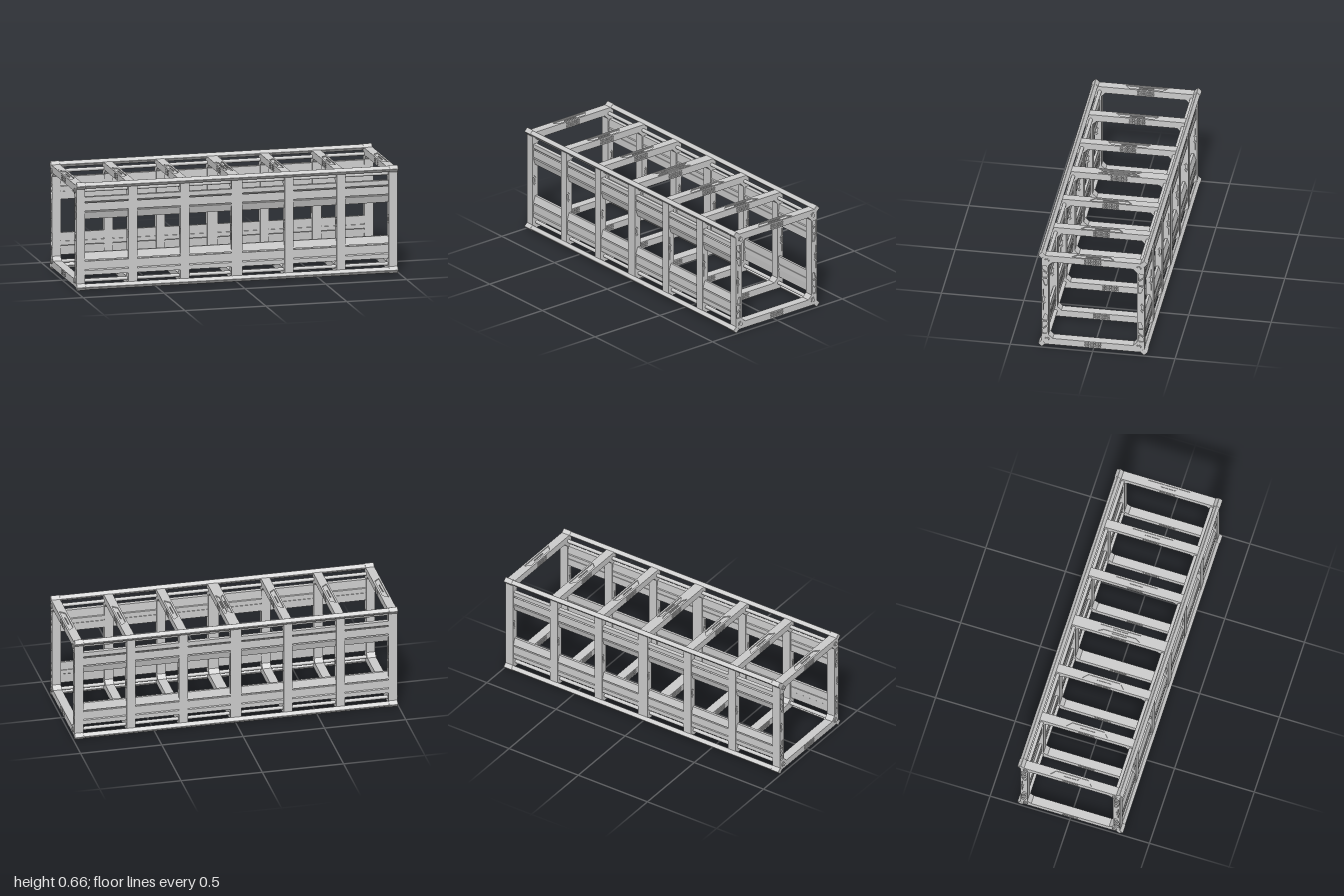
import * as THREE from 'three';
import { RoundedBoxGeometry } from 'three/addons/geometries/RoundedBoxGeometry.js';

const grey = new THREE.MeshStandardMaterial({ color: 0xcccccc });
const CY = 0.3315; // height of the long axis
const T = 0.008; // thickness of the rib face plates
const SIGNS = [-1, 1];
const EACH_CORNER = SIGNS.flatMap(sz => SIGNS.map(sy => [sz, sy]));

// Counter-clockwise outline, so outer shapes and holes both extrude with outward faces
function outline(pts) {
  const v = pts.map(p => new THREE.Vector2(...p));
  return THREE.ShapeUtils.isClockWise(v) ? v.reverse() : v;
}
const shapeOf = (pts, holes = []) => {
  const s = new THREE.Shape(outline(pts));
  s.holes = holes.map(h => new THREE.Path(outline(h)));
  return s;
};
const extrude = (shape, depth) => new THREE.ExtrudeGeometry(shape, { depth, bevelEnabled: false });

// Cross-sections are [z, y] points around the long axis, extruded along x
const alongX = (shape, length) => extrude(shape, length).translate(0, 0, -length / 2).rotateY(Math.PI / 2);
const mirrored = (pts, sz, sy) => pts.map(([z, y]) => [-z * sz, y * sy]);

function add(parent, name, geometry, x = 0, y = 0, z = 0) {
  const m = new THREE.Mesh(geometry, grey);
  m.name = name;
  m.position.set(x, y, z);
  parent.add(m);
  return m;
}

// Upper half of an outline, completed by a half turn
const halfTurn = top => [...top, ...top.map(([z, y]) => [-z, -y])];
const octagon = (h, c) => halfTurn([[h, h - c], [h - c, h], [c - h, h], [-h, h - c]]);
const rect = (x, y, w, h) => [[x - w, y - h], [x + w, y - h], [x + w, y + h], [x - w, y + h]];

const OPENING = octagon(0.269, 0.025);
// Core outline, lowered at the top and bottom to take the beam skins
const CORE = halfTurn([
  [0.312, 0.292], [0.292, 0.312], [0.15, 0.312], [0.15, 0.306],
  [-0.15, 0.306], [-0.15, 0.312], [-0.292, 0.312], [-0.312, 0.292],
]);

// The three profiles of a side panel, for the upper front corner
const PANEL = [
  [[0.306, 0.239], [0.280, 0.239], [0.277, 0.189], [0.306, 0.212]],
  [[0.306, 0.204], [0.277, 0.180], [0.277, 0.156], [0.306, 0.154]],
  [[0.306, 0.146], [0.277, 0.149], [0.277, 0.102], [0.292, 0.102]],
];
const HANDLE = [[0.307, 0.021], [0.295, 0.012], [0.295, -0.012], [0.307, -0.021]];
const SLIT = [[0.302, 0.075], [0.300, 0.075], [0.300, 0.032], [0.287, 0.017], [0.289, 0.016], [0.302, 0.030]];

// Face plate of a rib with its blind pockets and grilles
function plateShape() {
  const holes = [OPENING, ...SIGNS.map(sz => mirrored(HANDLE, sz, 1))];
  for (const [sz, sy] of EACH_CORNER)
    for (const p of [...PANEL, SLIT]) holes.push(mirrored(p, sz, sy));
  for (const sy of SIGNS)
    for (let r = -1; r <= 1; r++)
      for (let c = 0; c < 10; c++)
        holes.push(rect((c - 4.5) * 0.0102, sy * 0.29 + r * 0.0108, 0.0032, 0.0032));
  return shapeOf(octagon(0.312, 0.02), holes);
}

export function createModel() {
  const model = new THREE.Group();
  model.name = 'trussFrame';
  const body = new THREE.Group();
  body.name = 'frame';
  body.position.y = CY;
  model.add(body);

  // Seven square ribs: solid core between two pocketed plates
  const plate = alongX(plateShape(), T);
  for (let i = -3; i <= 3; i++) {
    const w = i === 0 ? 0.066 : 0.054;
    const rib = new THREE.Group();
    rib.name = 'rib';
    rib.position.x = i * 0.322;
    body.add(rib);
    add(rib, 'ribCore', alongX(shapeOf(CORE, [OPENING]), w - 2 * T));
    for (const s of SIGNS) add(rib, 'ribPlate', plate, s * (w - T) / 2);

    // Top and bottom skins with trapezoid pockets, each with a bar inside
    const [xLong, xShort] = i === 0 ? [0.022, 0.005] : [0.016, -0.015];
    const sides = i === 0 ? SIGNS : [Math.sign(i)];
    const pockets = sides.map(s => [
      [s * xLong, -0.13], [s * xLong, 0.13], [s * xShort, 0.1], [s * xShort, -0.1],
    ]);
    const skin = extrude(shapeOf(rect(0, 0, w / 2 - T, 0.15), pockets), 0.006);
    for (const sy of SIGNS) {
      add(rib, 'beamSkin', skin, 0, sy * 0.306, 0).rotation.x = -sy * Math.PI / 2;
      for (const s of sides)
        add(rib, 'pocketBar', new THREE.BoxGeometry(0.005, 0.006, 0.09), s * (xLong + xShort) / 2, sy * 0.3085, 0);
    }
  }

  const railGeo = new RoundedBoxGeometry(1.97, 0.029, 0.029, 2, 0.004);
  const sleeveGeo = new RoundedBoxGeometry(0.056, 0.033, 0.033, 2, 0.004);
  const cylinderX = (r, length) => new THREE.CylinderGeometry(r, r, length, 28).rotateZ(Math.PI / 2);
  const rodGeo = cylinderX(0.011, 1.98);
  const collarGeo = cylinderX(0.016, 0.012);
  const capGeo = cylinderX(0.0125, 0.014);

  for (const [sz, sy] of EACH_CORNER) {
    // Diamond corner rail with end sleeves
    add(body, 'cornerRail', railGeo, 0, sy * 0.31, sz * 0.31).rotation.x = Math.PI / 4;
    // Round rod inside the corner, with end collars
    add(body, 'cornerRod', rodGeo, 0, sy * 0.277, sz * 0.279);
    for (const sx of SIGNS) {
      add(body, 'railSleeve', sleeveGeo, sx * 0.966, sy * 0.31, sz * 0.31).rotation.x = Math.PI / 4;
      add(body, 'rodCollar', collarGeo, sx * 0.99, sy * 0.277, sz * 0.279);
      add(body, 'rodCap', capGeo, sx * 0.993, sy * 0.277, sz * 0.279);
    }
    // Side panel: three profiles on a backing web
    for (const p of PANEL) add(body, 'sidePanelProfile', alongX(shapeOf(mirrored(p, sz, sy)), 1.97));
    add(body, 'sidePanelWeb', new THREE.BoxGeometry(1.93, 0.13, 0.008), 0, sy * 0.17, sz * 0.286);
  }
  return model;
}
